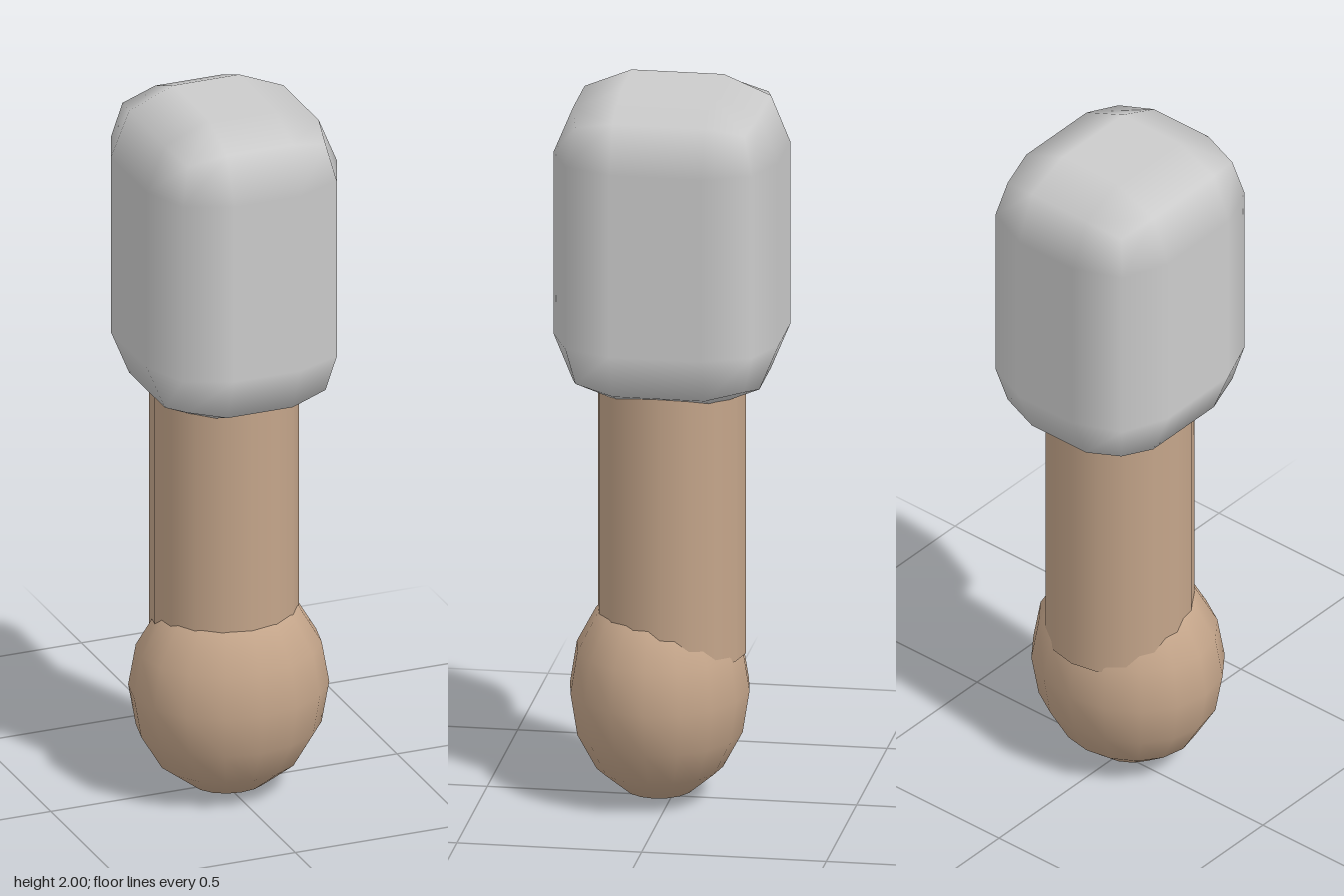
import * as THREE from 'three';
import { RoundedBoxGeometry } from 'three/addons/geometries/RoundedBoxGeometry.js';

export function createModel() {
  const model = new THREE.Group();
  model.name = 'arm';

  const cloth = new THREE.MeshStandardMaterial({ color: 0xcccccc });
  const skin = new THREE.MeshStandardMaterial({ color: 0xc4a58a });

  const add = (name, geometry, material, x, y, z) => {
    const mesh = new THREE.Mesh(geometry, material);
    mesh.name = name;
    mesh.position.set(x, y, z);
    model.add(mesh);
    return mesh;
  };

  // Chunky sleeve with two-step rounded edges
  add('sleeve', new RoundedBoxGeometry(0.55, 0.87, 0.61, 1, 0.18), cloth, 0, 1.565, 0);

  // Straight forearm running from inside the sleeve into the hand
  const bottom = 0.41, top = 1.3;
  add('forearm', new THREE.CylinderGeometry(0.2, 0.2, top - bottom, 16), skin, 0, (top + bottom) / 2, 0);

  // Egg-shaped mitten hand, set slightly forward
  const hand = add('hand', new THREE.SphereGeometry(1, 16, 8), skin, 0, 0.305, 0.033);
  hand.scale.set(0.273, 0.305, 0.243);

  return model;
}
